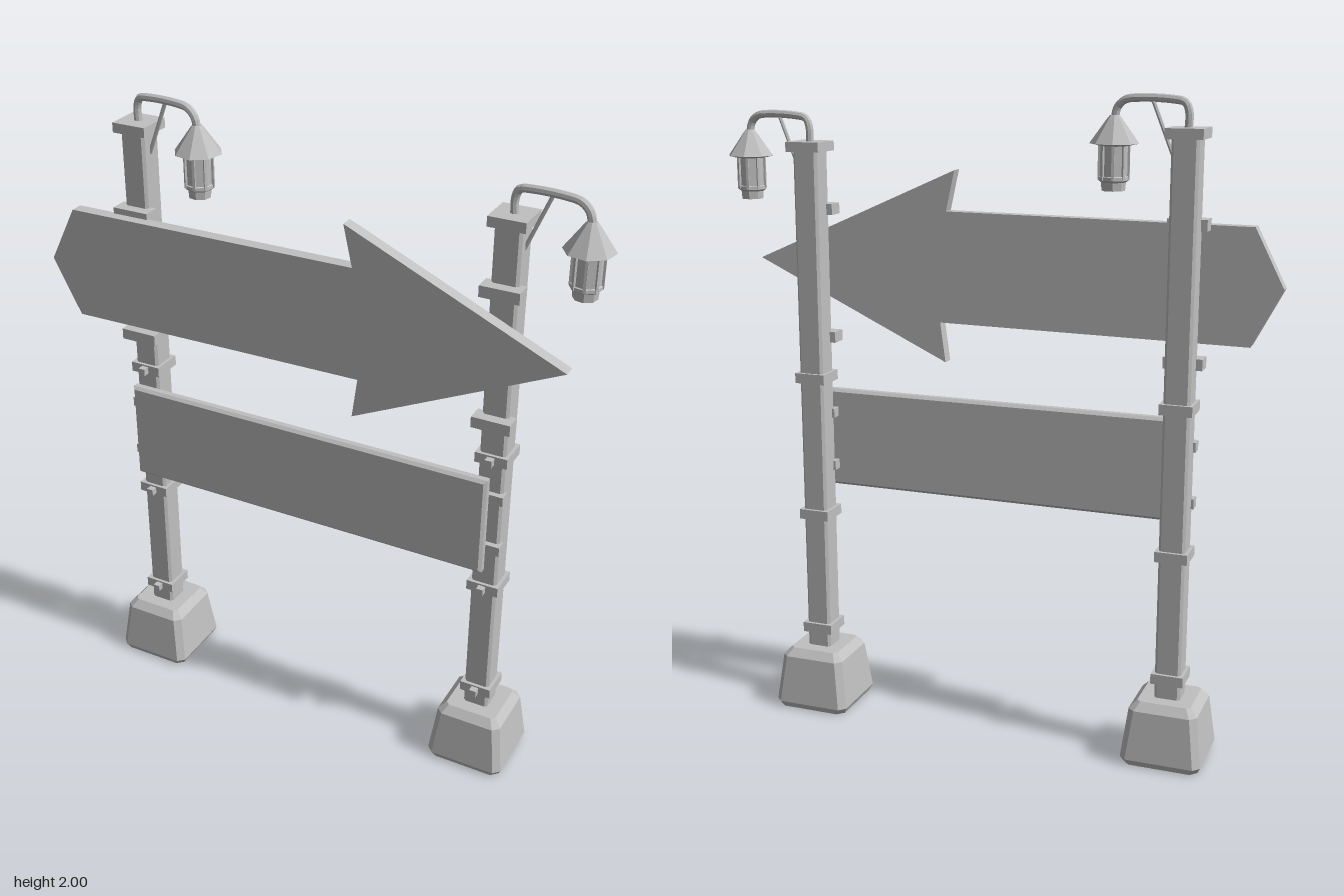
import * as THREE from 'three';

const stone = new THREE.MeshStandardMaterial({ color: 0xc0c0c0 });
stone.name = 'pale grey';
stone.flatShading = true;

function add(parent, name, geometry, x = 0, y = 0, z = 0) {
  const mesh = new THREE.Mesh(geometry, stone);
  mesh.name = name;
  mesh.position.set(x, y, z);
  parent.add(mesh);
  return mesh;
}

// Square column with cut corners; each ring is [y, half width, corner cut]
function loft(rings) {
  const pos = [], index = [];
  for (const [y, h, c] of rings) {
    const k = h - c;
    for (const [x, z] of [[h, -k], [h, k], [k, h], [-k, h], [-h, k], [-h, -k], [-k, -h], [k, -h]]) pos.push(x, y, z);
  }
  const top = (rings.length - 1) * 8;
  for (let r = 0; r < top; r += 8) {
    for (let i = 0; i < 8; i++) {
      const a = r + i, b = r + (i + 1) % 8;
      index.push(a, a + 8, b, b, a + 8, b + 8);
    }
  }
  for (let i = 1; i < 7; i++) {
    index.push(0, i, i + 1);
    index.push(top, top + i + 1, top + i);
  }
  const g = new THREE.BufferGeometry();
  g.setAttribute('position', new THREE.Float32BufferAttribute(pos, 3));
  g.setIndex(index);
  const flat = g.toNonIndexed();
  flat.computeVertexNormals();
  return flat;
}

// Eight-sided lantern, origin at the top of its roof
function makeLantern() {
  const lantern = new THREE.Group();
  lantern.name = 'lantern';
  const turned = (name, points) => {
    const g = new THREE.LatheGeometry(points.map(([r, y]) => new THREE.Vector2(r, y)), 8);
    g.rotateY(0.2);
    add(lantern, name, g);
  };
  turned('lanternRoof', [[0, -0.085], [0.04, -0.085], [0.072, -0.078], [0.022, -0.008], [0.014, 0.002], [0, 0.002]]);
  turned('lanternBody', [[0, -0.212], [0.034, -0.212], [0.036, -0.188], [0.045, -0.182], [0.045, -0.172], [0.041, -0.17], [0.041, -0.08]]);
  for (let i = 0; i < 8; i++) {
    const a = i * Math.PI / 4 + 0.2;
    const bar = add(lantern, 'lanternBar', new THREE.BoxGeometry(0.008, 0.1, 0.008), 0.042 * Math.sin(a), -0.13, 0.042 * Math.cos(a));
    bar.rotation.y = a;
  }
  return lantern;
}

// Post with footing, collars, brackets and hanging lantern; top is the cap height
function makePost(x, top, name) {
  const post = new THREE.Group();
  post.name = name;
  post.position.x = x;
  add(post, 'footing', loft([[0, 0.115, 0.02], [0.02, 0.125, 0.02], [0.175, 0.106, 0.02], [0.2, 0.083, 0.012]]));
  add(post, 'shaft', loft([[0.19, 0.04, 0.008], [top - 0.02, 0.04, 0.008]]));
  add(post, 'cap', new THREE.BoxGeometry(0.11, 0.03, 0.11), 0, top - 0.015, 0);

  for (const y of [0.264, 0.657, 1.109]) {
    add(post, 'collar', new THREE.BoxGeometry(0.1, 0.032, 0.1), 0, y, 0);
    add(post, 'bolt', new THREE.BoxGeometry(0.022, 0.022, 0.024), 0, y, 0.059);
  }
  for (const y of [1.234, 1.638]) {
    add(post, 'arrowBracket', new THREE.BoxGeometry(0.118, 0.034, 0.053), 0, y, 0.0475);
  }
  for (const y of [0.81, 0.985]) {
    add(post, 'panelBracket', new THREE.BoxGeometry(0.096, 0.03, 0.036), 0, y, 0.04);
  }

  // Bent lamp arm with a diagonal strut
  const arm = new THREE.CatmullRomCurve3([
    [0, -0.01, 0], [0, 0.045, 0], [0.012, 0.069, 0.002], [0.045, 0.076, 0.007],
    [0.145, 0.079, 0.02], [0.19, 0.073, 0.026], [0.214, 0.052, 0.03], [0.222, 0.02, 0.03],
  ].map(([a, b, c]) => new THREE.Vector3(a, top + b, c)));
  add(post, 'lampArm', new THREE.TubeGeometry(arm, 28, 0.012, 8));
  const strut = new THREE.LineCurve3(new THREE.Vector3(0.036, top - 0.095, 0.003), new THREE.Vector3(0.108, top + 0.075, 0.014));
  add(post, 'lampStrut', new THREE.TubeGeometry(strut, 1, 0.006, 6));

  const lantern = makeLantern();
  lantern.position.set(0.222, top + 0.027, 0.03);
  post.add(lantern);
  return post;
}

export function createModel() {
  const model = new THREE.Group();
  model.name = 'signpost';
  model.add(makePost(-0.603, 1.912, 'tallPost'), makePost(0.577, 1.847, 'shortPost'));

  // Arrow board
  const arrow = new THREE.Shape([
    [-0.88, 1.46], [-0.79, 1.287], [0.177, 1.297], [0.16, 1.172],
    [0.795, 1.47], [0.127, 1.767], [0.155, 1.642], [-0.79, 1.635],
  ].map(([x, y]) => new THREE.Vector2(x, y)));
  add(model, 'arrowBoard', new THREE.ExtrudeGeometry(arrow, { depth: 0.04, bevelEnabled: false }), 0, 0, 0.067);

  // Lower panel with bevelled edges
  const b = 0.009, w = 0.6065 - b, h = 0.16 - b;
  const panel = new THREE.Shape([[-w, -h], [w, -h], [w, h], [-w, h]].map(([x, y]) => new THREE.Vector2(x, y)));
  add(model, 'lowerPanel', new THREE.ExtrudeGeometry(panel, {
    depth: 0.018, bevelEnabled: true, bevelThickness: b, bevelSize: b, bevelSegments: 1,
  }), -0.0235, 0.898, 0.061);
  return model;
}
